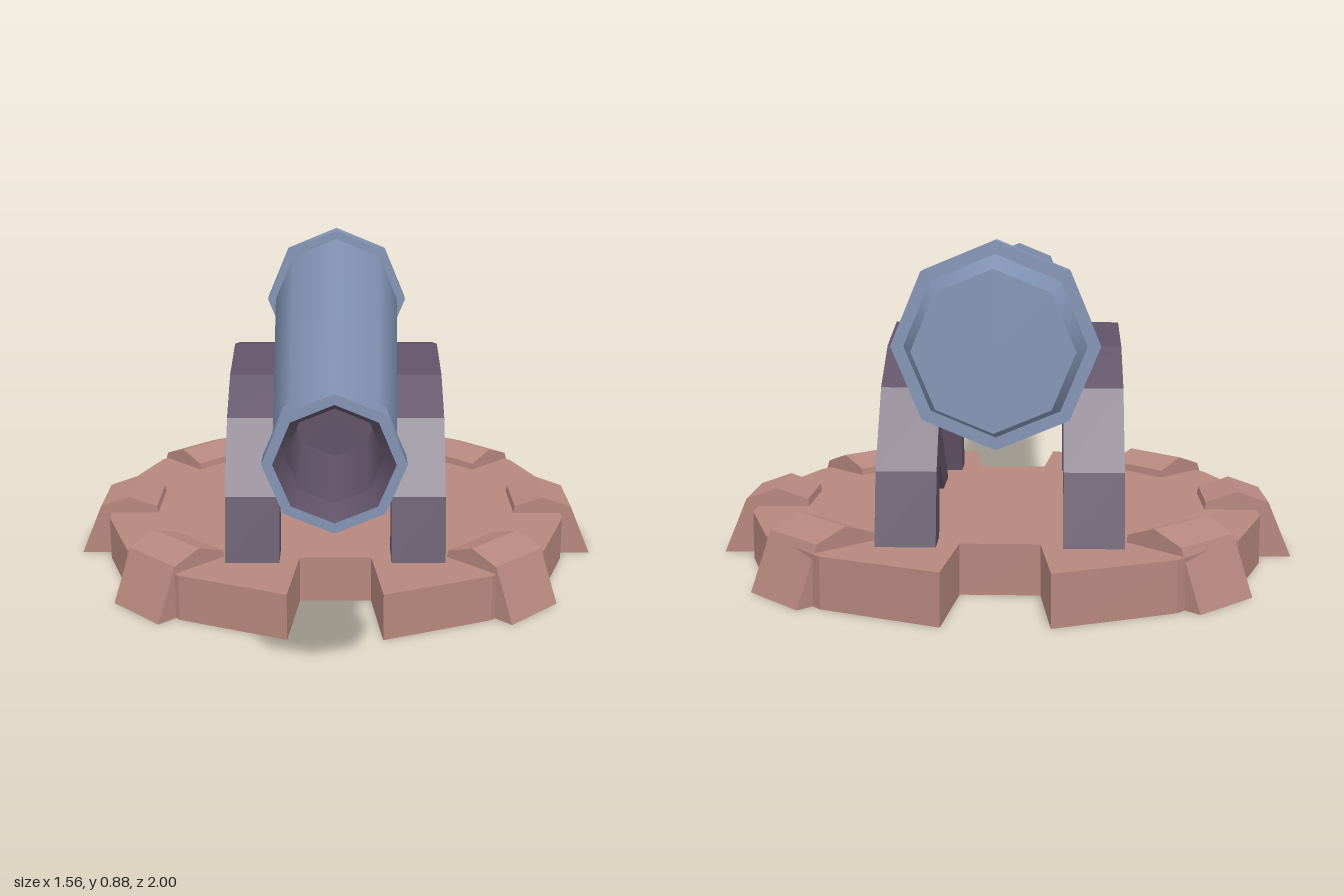
import * as THREE from 'three';

export function createModel() {
  const model = new THREE.Group();
  const mat = (name, color) => {
    const m = new THREE.MeshStandardMaterial({ color, side: THREE.DoubleSide });
    m.name = name;
    return m;
  };
  const steel = mat('blue steel', 0x8293b4);
  const wood = mat('dark wood', 0x5f5166);
  const clay = mat('red clay', 0xb6877e);

  const add = (name, geometry, material, x = 0, y = 0, z = 0, parent = model) => {
    const mesh = new THREE.Mesh(geometry, material);
    mesh.name = name;
    mesh.position.set(x, y, z);
    parent.add(mesh);
    return mesh;
  };
  const shapeOf = (pts) => new THREE.Shape(pts.map(([x, y]) => new THREE.Vector2(x, y)));
  const MID = -0.2; // z of the carriage centre

  // Barrel: eight-sided sections along z, from z0 (back) to z1 (front)
  const barrel = new THREE.Group();
  barrel.name = 'barrel';
  barrel.position.y = 0.645;
  model.add(barrel);
  const section = (name, z0, z1, r0, r1, material = steel, open = false) => {
    const g = new THREE.CylinderGeometry(r1, r0, z1 - z0, 8, 1, open).rotateX(Math.PI / 2);
    return add(name, g, material, 0, 0, (z0 + z1) / 2, barrel);
  };
  const ring = (name, rIn, rOut, z, flip) => {
    const g = new THREE.RingGeometry(rIn, rOut, 8, 1, Math.PI / 2);
    if (flip) g.rotateY(Math.PI);
    add(name, g, steel, 0, 0, z, barrel);
  };
  section('breech', -1, -0.895, 0.18, 0.207);
  section('breechBand', -0.895, -0.82, 0.237, 0.237);
  section('barrelBody', -0.82, 0.935, 0.21, 0.138, steel, true);
  section('muzzleBand', 0.935, 1, 0.159, 0.159, steel, true);
  ring('muzzleFace', 0.135, 0.159, 1, false);
  ring('muzzleBack', 0.13, 0.159, 0.935, true);
  section('boreLip', 0.94, 1, 0.11, 0.135, wood, true);
  section('bore', 0.6, 0.94, 0.11, 0.11, wood, true);
  add('boreEnd', new THREE.CircleGeometry(0.11, 8, Math.PI / 2), wood, 0, 0, 0.6, barrel);

  // Base: a hollow plate with a notch at front and back
  const H = 0.13;
  const quarter = [[0.683, 0.155], [0.593, 0.41], [0.425, 0.6], [0.127, 0.725], [0.1, 0.47]];
  const half = [...quarter, ...quarter.map(([x, y]) => [-x, y]).reverse()];
  const outline = [...half, ...half.map(([x, y]) => [-x, -y])];
  add('baseTop', new THREE.ShapeGeometry(shapeOf(outline)).rotateX(-Math.PI / 2), clay, 0, H, MID);
  const wall = [];
  outline.forEach(([ax, ay], i) => {
    const [bx, by] = outline[(i + 1) % outline.length];
    const a0 = [ax, 0, -ay], b0 = [bx, 0, -by], a1 = [ax, H, -ay], b1 = [bx, H, -by];
    wall.push(...a0, ...b0, ...b1, ...a0, ...b1, ...a1);
  });
  const wallGeo = new THREE.BufferGeometry();
  wallGeo.setAttribute('position', new THREE.Float32BufferAttribute(wall, 3));
  wallGeo.computeVertexNormals();
  add('baseRim', wallGeo, clay, 0, 0, MID);

  // Clamps hooked over the rim
  const clampGeo = new THREE.ExtrudeGeometry(
    shapeOf([[0.54, 0.12], [0.66, 0.12], [0.66, 0], [0.778, 0], [0.716, 0.15], [0.63, 0.18], [0.545, 0.15]]),
    { depth: 0.2, bevelEnabled: false }).translate(0, 0, -0.1);
  for (const deg of [0, 45, 135, 180, 225, 315]) {
    add('clamp', clampGeo, clay, 0, 0, MID + 0.01).rotation.y = THREE.MathUtils.degToRad(deg);
  }

  // Arches and crossed braces on both sides
  const outer = [[0.51, H], [0.47, 0.31], [0.345, 0.5], [0.205, 0.59], [0, 0.633]];
  const inner = [[0.41, H], [0.385, 0.3], [0.29, 0.43], [0.17, 0.51], [0, 0.535]];
  const span = (pts) => [...pts, ...pts.slice(0, -1).reverse().map(([u, y]) => [-u, y])];
  const archGeo = new THREE.ExtrudeGeometry(
    shapeOf([...span(outer), ...span(inner).reverse()]),
    { depth: 0.15, bevelEnabled: false }).translate(0, 0, -0.075).rotateY(Math.PI / 2);
  const braceGeo = new THREE.BoxGeometry(0.08, 0.1, 0.67);
  for (const side of [1, -1]) {
    add('arch', archGeo, wood, side * 0.23, 0, MID);
    for (const tilt of [1, -1]) {
      add('brace', braceGeo, wood, side * 0.23, 0.315, MID).rotation.x = tilt * 0.69;
    }
  }
  return model;
}
